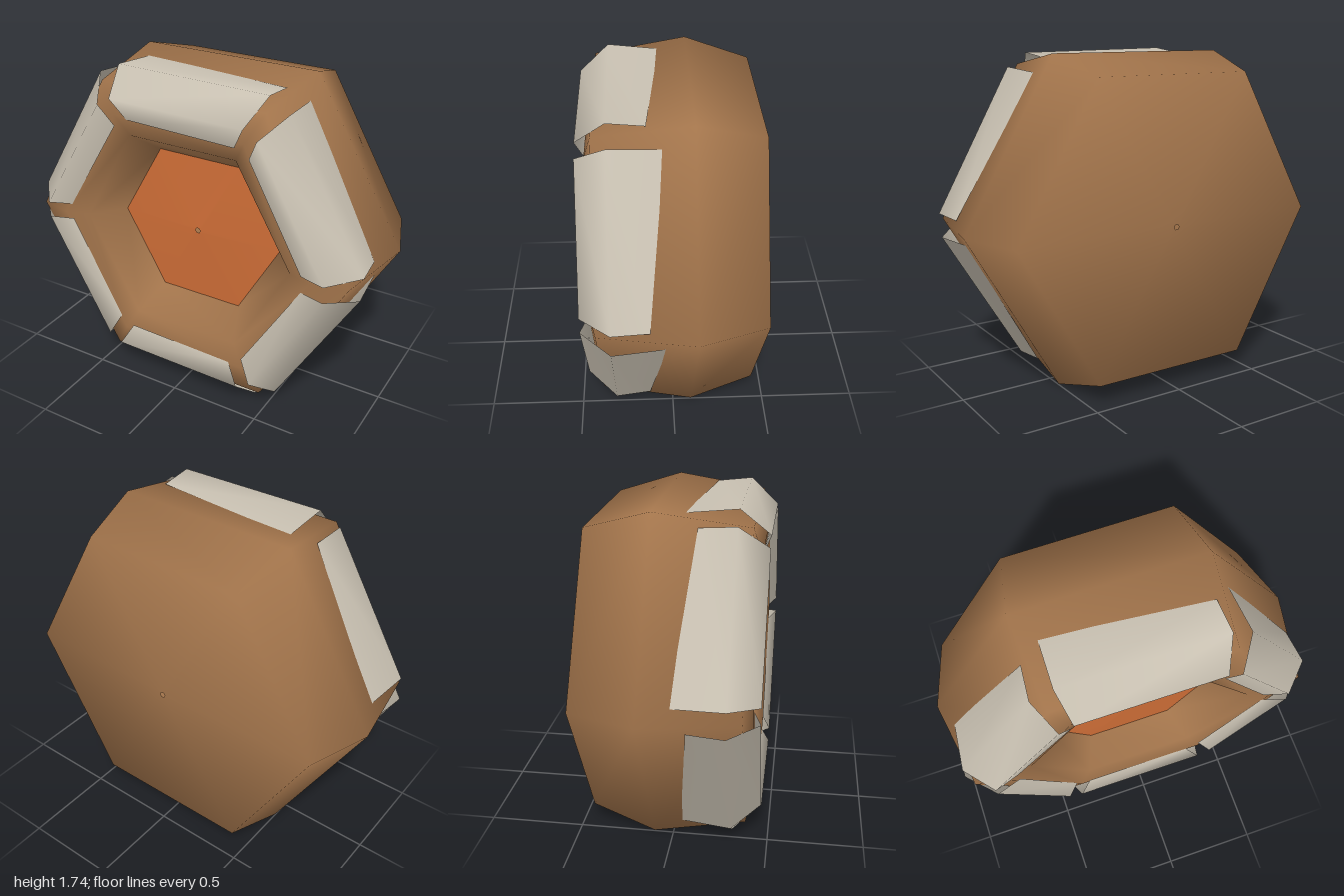
import * as THREE from 'three';

const SIDES = 6;
const CENTRE_Y = 0.874;

// Six-sided smooth lathe around z; profile points are [corner radius, z].
// Normals average the neighbouring profile segments evenly, whatever their length.
function hexLathe(profile) {
  const points = profile.map(([r, z]) => new THREE.Vector2(r, z));
  const geometry = new THREE.LatheGeometry(points, SIDES, Math.PI / 6);
  const facing = points.slice(1).map((p, i) => {
    const d = p.clone().sub(points[i]).normalize();
    return new THREE.Vector2(d.y, -d.x);
  });
  const normal = geometry.attributes.normal;
  for (let i = 0; i <= SIDES; i++) {
    const phi = Math.PI / 6 + (i * Math.PI * 2) / SIDES;
    points.forEach((p, j) => {
      const before = facing[Math.max(j - 1, 0)];
      const after = facing[Math.min(j, facing.length - 1)];
      const n = before.clone().add(after).normalize();
      normal.setXYZ(i * points.length + j, n.x * Math.sin(phi), n.y, n.x * Math.cos(phi));
    });
  }
  geometry.rotateX(Math.PI / 2);
  return geometry;
}

// Bent sheet stretched between two end profiles of [x, y, z] points
function sheet(left, right) {
  const positions = [];
  const index = [];
  left.forEach((p, i) => {
    positions.push(...p, ...right[i]);
    if (i > 0) {
      const a = (i - 1) * 2;
      index.push(a, a + 1, a + 3, a, a + 3, a + 2);
    }
  });
  const geometry = new THREE.BufferGeometry();
  geometry.setAttribute('position', new THREE.Float32BufferAttribute(positions, 3));
  geometry.setIndex(index);
  geometry.computeVertexNormals();
  return geometry;
}

export function createModel() {
  const brown = new THREE.MeshStandardMaterial({ color: 0xa2744b, side: THREE.DoubleSide });
  brown.name = 'brown shell';
  const orange = new THREE.MeshStandardMaterial({ color: 0xcf6e37, side: THREE.DoubleSide });
  orange.name = 'orange core';
  const grey = new THREE.MeshStandardMaterial({ color: 0xc9c1b2, side: THREE.DoubleSide });
  grey.name = 'pale grey plate';

  const model = new THREE.Group();
  model.name = 'hexagonalPod';
  const hub = new THREE.Group();
  hub.name = 'podParts';
  hub.position.y = CENTRE_Y;
  model.add(hub);

  const add = (name, geometry, material) => {
    const mesh = new THREE.Mesh(geometry, material);
    mesh.name = name;
    hub.add(mesh);
    return mesh;
  };

  // Shell: domed back, bulging wall, front lip and steep recess
  add('shell', hexLathe([
    [0.015, -0.46], [0.885, -0.44], [1, -0.1], [0.92, 0.38],
    [0.74, 0.42], [0.613, 0.38], [0.475, 0.213],
  ]), brown);

  // Slightly domed floor of the recess with a tucked-in rim and a pinhole in the middle
  add('core', hexLathe([[0.475, 0.19], [0.46, 0.2], [0.475, 0.213], [0.015, 0.235]].slice(2)), orange);

  // Rim plates: one bent, slightly skewed sheet per side
  const leftEnd = [[-0.295, 0.63, 0.42], [-0.365, 0.74, 0.46], [-0.405, 0.87, 0.31], [-0.4, 0.843, 0.045]];
  const rightEnd = [[0.32, 0.612, 0.42], [0.385, 0.728, 0.46], [0.445, 0.858, 0.31], [0.44, 0.838, 0.125]];
  const plate = sheet(leftEnd, rightEnd);
  for (let i = 0; i < SIDES; i++) {
    add(`rimPlate${i + 1}`, plate, grey).rotation.z = (-i * Math.PI * 2) / SIDES;
  }

  return model;
}
